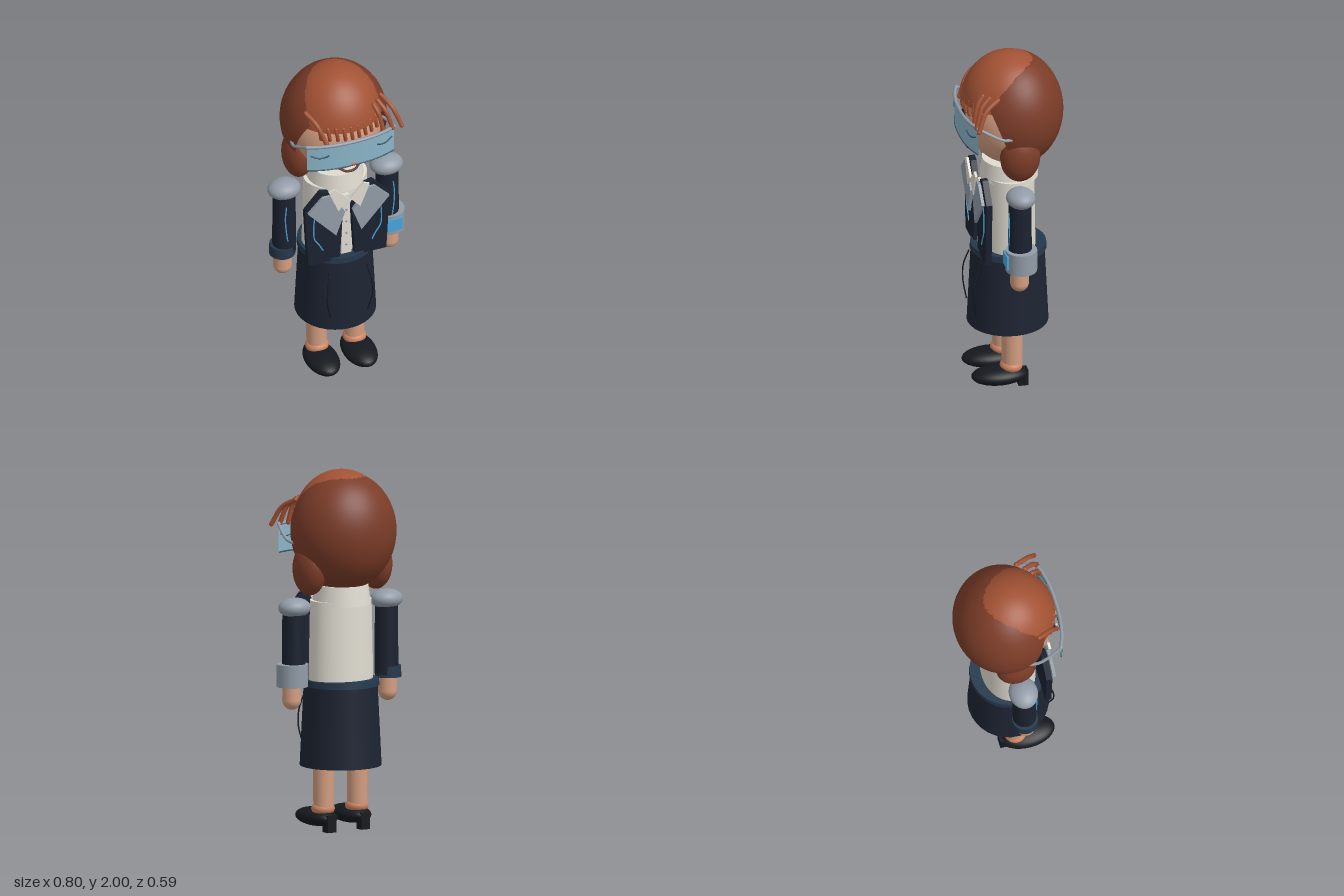
import * as THREE from 'three';

const mat = (color, side = THREE.FrontSide) => new THREE.MeshStandardMaterial({ color, side });
const M = {
  skin: mat(0xd39d80), blush: mat(0xcf8562), hair: mat(0xa25234, THREE.DoubleSide),
  darkHair: mat(0x7b3c28, THREE.DoubleSide), cream: mat(0xe0dcd1, THREE.DoubleSide),
  jacket: mat(0x1b2230), skirt: mat(0x1e2433), belt: mat(0x24384c), grey: mat(0x929ca7),
  shoe: mat(0x15191f), blue: mat(0x48a6dc), lens: mat(0x8ab5c8, THREE.DoubleSide),
  line: mat(0x2f5568), mouth: mat(0x5c2a20), white: mat(0xffffff),
};

export function createModel() {
  const root = new THREE.Group();
  root.name = 'figure';
  root.position.x = -0.01;

  const add = (name, geo, material, x = 0, y = 0, z = 0) => {
    const m = new THREE.Mesh(geo, material);
    m.name = name;
    m.position.set(x, y, z);
    root.add(m);
    return m;
  };
  const ball = (name, material, x, y, z, rx, ry, rz) =>
    add(name, new THREE.SphereGeometry(1, 32, 20).scale(rx, ry, rz), material, x, y, z);
  // upright cylinder between two heights
  const post = (name, material, x, z, rTop, rBot, y0, y1, sx = 1) =>
    add(name, new THREE.CylinderGeometry(rTop, rBot, y1 - y0, 32).scale(sx, 1, 1), material, x, (y0 + y1) / 2, z);
  const box = (name, material, x, y, z, w, h, d) =>
    add(name, new THREE.BoxGeometry(w, h, d), material, x, y, z);
  const tube = (name, material, pts, r, capped = false) => {
    const v = pts.map(p => new THREE.Vector3(...p));
    add(name, new THREE.TubeGeometry(new THREE.CatmullRomCurve3(v), 20, r, 8), material);
    if (capped) for (const p of [pts[0], pts[pts.length - 1]]) ball(name + 'Tip', material, ...p, r, r, r);
  };
  // flat cloth piece cut from an outline, mirrored by s
  const panel = (name, material, s, pts, z, depth) => {
    const shape = new THREE.Shape(pts.map(([x, y]) => new THREE.Vector2(s * x, y)));
    add(name, new THREE.ExtrudeGeometry(shape, { depth, bevelEnabled: false }), material, 0, 0, z);
  };

  // head and face
  ball('head', M.skin, 0, 1.62, 0, 0.26, 0.27, 0.24);
  ball('nose', M.blush, 0, 1.54, 0.262, 0.024, 0.024, 0.026);
  tube('mouth', M.mouth, [[-0.06, 1.475, 0.215], [-0.03, 1.46, 0.235], [0, 1.457, 0.24], [0.03, 1.46, 0.235], [0.06, 1.475, 0.215]], 0.007, true);

  // hair: front cap, back shell with a slanted opening, side lobes
  add('hairCap', new THREE.SphereGeometry(1, 40, 20, 0, Math.PI * 2, 0, 1.42).scale(0.267, 0.3, 0.272), M.hair, 0, 1.7, 0);
  add('backHair', new THREE.SphereGeometry(1, 40, 28, 0, Math.PI * 2, 0, 2.04).rotateX(-1.15).scale(0.298, 0.33, 0.278),
    M.darkHair, 0, 1.662, -0.018);

  // fringe
  for (let i = 0; i < 9; i++) {
    const x = -0.165 + i * 0.041;
    const z = 0.262 * Math.sqrt(1 - (x / 0.267) ** 2);
    tube('fringe', M.hair, [[x - 0.006, 1.77, z - 0.006], [x, 1.73, z], [x + 0.006, 1.695, z - 0.004]], 0.011, true);
  }
  // loose locks
  const locks = [[-0.22, 0.125, -0.145, 0.245], [0.225, 0.12, 0.3, 0.245], [0.19, 0.16, 0.245, 0.245], [0.155, 0.19, 0.19, 0.245]];
  for (const [x0, z0, x1, z1] of locks)
    tube('lock', M.hair, [[x0, 1.835, z0], [x0 * 0.5 + x1 * 0.5, 1.79, z0 * 0.4 + z1 * 0.6], [x1, 1.69, z1]], 0.013, true);

  // visor: bent lens, frame and temples
  const bend = x => 0.284 - 0.046 * Math.abs(x / 0.257) ** 2.5;
  const lens = new THREE.PlaneGeometry(0.514, 0.16, 24, 1);
  const lp = lens.attributes.position;
  for (let i = 0; i < lp.count; i++) lp.setZ(i, bend(lp.getX(i)));
  lens.computeVertexNormals();
  add('visorLens', lens, M.lens, 0, 1.61, 0);
  const across = (y, dz) => [-0.257, -0.19, -0.1, 0, 0.1, 0.19, 0.257].map(x => [x, y, bend(x) + dz]);
  tube('visorFrame', M.grey, across(1.69, 0), 0.01, true);
  tube('visorLowerRim', M.line, across(1.53, 0), 0.004);

  // torso, neck band, shirt front
  post('torso', M.cream, 0, 0.008, 0.18, 0.19, 0.82, 1.28, 1).scale.z = 0.79;
  post('neckBand', M.cream, 0, 0.003, 0.148, 0.162, 1.255, 1.365);
  panel('shirtFront', M.cream, 1, [[-0.03, 0.835], [0.03, 0.835], [0.02, 1.24], [-0.02, 1.24]], 0.15, 0.025);
  for (let i = 0; i < 4; i++) ball('button', M.grey, 0, 0.9 + i * 0.08, 0.176, 0.007, 0.007, 0.004);

  // skirt and belt
  post('skirt', M.skirt, 0, 0.01, 0.203, 0.225, 0.36, 0.81);
  post('belt', M.belt, 0, 0.007, 0.209, 0.212, 0.805, 0.84);

  // mirrored parts
  for (const s of [-1, 1]) {
    ball('sideHair', M.darkHair, s * 0.217, 1.465, -0.008, 0.084, 0.145, 0.112);
    ball('eye', M.shoe, s * 0.095, 1.6, 0.232, 0.028, 0.036, 0.02);
    ball('eyeGlint', M.white, s * 0.095, 1.62, 0.258, 0.008, 0.008, 0.008);
    tube('eyelash', M.line, [0.14, 0.165, 0.195, 0.22, 0.242].map((x, i) =>
      [s * x, [1.628, 1.617, 1.614, 1.622, 1.632][i], bend(x) + 0.002]), 0.004);
    tube('visorTemple', M.grey, [[s * 0.257, 1.69, 0.24], [s * 0.28, 1.645, 0.16], [s * 0.285, 1.615, 0.1], [s * 0.272, 1.605, 0.035]], 0.009, true);

    // jacket front, lapel, shirt collar
    panel('jacketFront', M.jacket, s, [[0.155, 1.31], [0.25, 1.2], [0.23, 0.825], [0.045, 0.825], [0.025, 1.16], [0.11, 1.3]], 0.157, 0.034);
    panel('lapel', M.grey, s, [[0.155, 1.29], [0.24, 1.2], [0.075, 1.01], [0.022, 1.16], [0.11, 1.29]], 0.198, 0.017);
    panel('collarPoint', M.cream, s, [[0.004, 1.25], [0.065, 1.18], [0.12, 1.32], [0.085, 1.335]], 0.208, 0.014);
    tube('jacketPiping', M.blue, [[0.19, 1.18], [0.2, 1.08], [0.195, 1.0], [0.165, 0.95], [0.145, 0.91]].map(([x, y]) => [s * x, y, 0.193]), 0.004);

    // arm
    post('sleeve', M.jacket, s * 0.304, 0.015, 0.063, 0.066, 0.84, 1.26);
    ball('shoulderPad', M.grey, s * 0.302, 1.256, 0.01, 0.094, 0.055, 0.08);
    tube('sleevePiping', M.blue, [[0.315, 1.18], [0.322, 1.1], [0.318, 1.02], [0.308, 0.94]].map(([x, y]) => [s * x, y, 0.08]), 0.004);
    post('wrist', M.skin, s * 0.315, 0.02, 0.05, 0.052, 0.74, 0.84);
    ball('hand', M.skin, s * 0.315, 0.743, 0.02, 0.052, 0.053, 0.052);

    // leg, shoe, skirt seam
    post('leg', M.skin, s * 0.111, 0.012, 0.059, 0.056, 0.13, 0.42);
    ball('ankle', M.blush, s * 0.111, 0.125, 0.017, 0.066, 0.042, 0.063);
    ball('shoe', M.shoe, s * 0.111, 0.073, 0.083, 0.093, 0.051, 0.158);
    box('heel', M.shoe, s * 0.111, 0.047, -0.047, 0.056, 0.094, 0.054);
    tube('skirtSeam', M.shoe, [[0.11, 0.75, 0.2], [0.13, 0.65, 0.228], [0.133, 0.56, 0.23], [0.11, 0.45, 0.215]].map(([x, y, z]) => [s * x, y, z]), 0.004);
  }

  // different cuffs: plain on the right, wrist device on the left
  post('rightCuff', M.belt, -0.315, 0.015, 0.071, 0.073, 0.822, 0.885);
  post('wristDevice', M.grey, 0.317, 0.01, 0.087, 0.087, 0.82, 0.945);
  box('deviceScreen', M.blue, 0.315, 0.888, 0.096, 0.09, 0.078, 0.012);

  return root;
}
